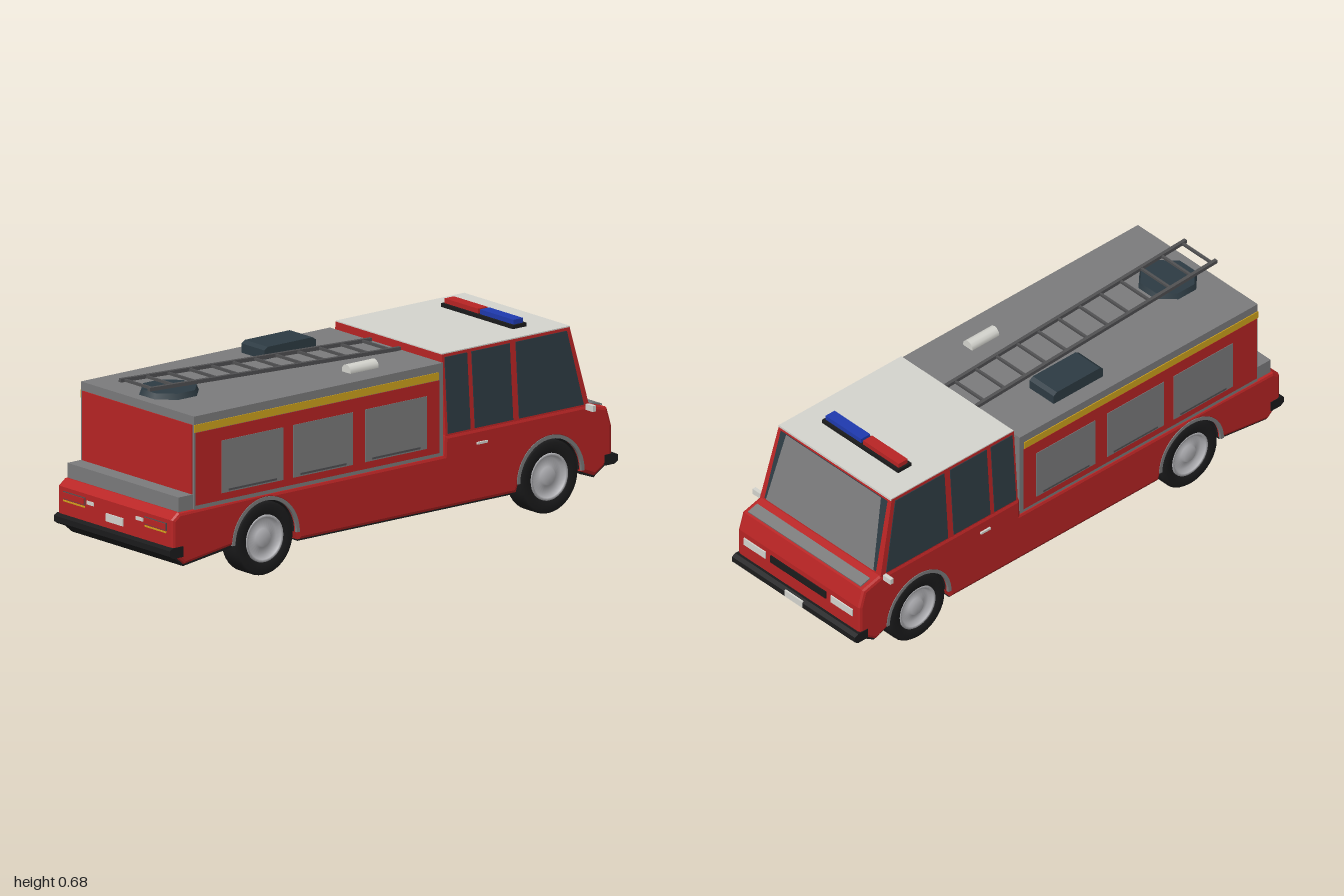
import * as THREE from 'three';

export function createModel() {
  const root = new THREE.Group();
  const mat = (name, color, side = THREE.FrontSide) => {
    const m = new THREE.MeshStandardMaterial({ color, side });
    m.name = name;
    return m;
  };
  const red = mat('fire red', 0xb82424);
  const grey = mat('panel grey', 0x7b7b7c);
  const white = mat('off white', 0xd4d4ce);
  const yellow = mat('stripe yellow', 0xcfa31c);
  const blue = mat('beacon blue', 0x1f3aae);
  const glass = mat('dark glass', 0x2d3b43);
  const black = mat('rubber black', 0x1b1b1c, THREE.DoubleSide);
  const silver = mat('wheel silver', 0xb6b6ba);
  const dark = mat('ladder grey', 0x505052);

  const add = (name, geo, m, x = 0, y = 0, z = 0) => {
    const mesh = new THREE.Mesh(geo, m);
    mesh.name = name;
    mesh.position.set(x, y, z);
    root.add(mesh);
    return mesh;
  };
  // box given by its limits on each axis
  const box = (name, m, x0, x1, y0, y1, z0, z1) =>
    add(name, new THREE.BoxGeometry(x1 - x0, y1 - y0, z1 - z0), m, (x0 + x1) / 2, (y0 + y1) / 2, (z0 + z1) / 2);
  // side profile in (z, y) extruded across x
  const prism = (shape, halfWidth, bevel = 0) => {
    const g = new THREE.ExtrudeGeometry(shape, {
      depth: 2 * (halfWidth - bevel), curveSegments: 20, bevelEnabled: bevel > 0,
      bevelSize: bevel, bevelThickness: bevel, bevelOffset: -bevel, bevelSegments: 2,
    });
    g.translate(0, 0, -(halfWidth - bevel));
    return g.rotateY(-Math.PI / 2);
  };
  const poly = (pts) => new THREE.Shape(pts.map(([z, y]) => new THREE.Vector2(z, y)));

  const axles = [0.57, -0.7];
  const hubY = 0.13;

  // lower body with wheel arches cut out
  const s = new THREE.Shape();
  s.moveTo(0.985, 0.15);
  s.lineTo(0.985, 0.265);
  s.lineTo(0.955, 0.288);
  s.lineTo(-0.225, 0.29);
  s.lineTo(-0.228, 0.358);
  s.lineTo(-0.87, 0.358);
  s.lineTo(-0.955, 0.335);
  s.lineTo(-0.975, 0.27);
  s.lineTo(-0.975, 0.15);
  s.lineTo(-0.9, 0.1);
  s.lineTo(-0.839, 0.125);
  s.absarc(-0.7, hubY, 0.14, Math.PI, 0, true);
  s.lineTo(-0.55, 0.1);
  s.lineTo(0.42, 0.1);
  s.absarc(0.57, hubY, 0.14, Math.PI, 0, true);
  s.lineTo(0.72, 0.13);
  s.lineTo(0.93, 0.1);
  add('lowerBody', prism(s, 0.309, 0.012), red);

  // black underside
  box('floor', black, -0.298, 0.298, 0.095, 0.103, -0.55, 0.42);
  const under = (name, pts) => add(name, prism(poly(pts), 0.297), black);
  under('rearUnderside', [[0.71, 0.122], [0.93, 0.093], [0.985, 0.14], [0.975, 0.16], [0.93, 0.112], [0.71, 0.14]]);
  under('frontUnderside', [[-0.84, 0.115], [-0.9, 0.093], [-0.975, 0.14], [-0.965, 0.16], [-0.9, 0.112], [-0.84, 0.135]]);

  // wheels, arch liners and arch trims
  const wheelProfile = [[0.08, -0.043], [0.122, -0.043], [0.13, -0.034], [0.13, 0.034], [0.122, 0.043], [0.086, 0.043], [0.082, 0.03]]
    .map(([r, h]) => new THREE.Vector2(r, h));
  const rimProfile = [[0, -0.035], [0.084, -0.035], [0.084, 0.04], [0.074, 0.04], [0.066, 0.022], [0.034, 0.03], [0.028, 0.04], [0, 0.04]]
    .map(([r, h]) => new THREE.Vector2(r, h));
  for (const z of axles) {
    const liner = new THREE.CylinderGeometry(0.138, 0.138, 0.59, 28, 1, true, 0, Math.PI);
    liner.rotateZ(Math.PI / 2);
    add('archLiner', liner, black, 0, hubY, z);
    box('axle', black, -0.23, 0.23, 0.11, 0.15, z - 0.02, z + 0.02);
    for (const side of [1, -1]) {
      const tyre = add('tyre', new THREE.LatheGeometry(wheelProfile, 36).rotateZ(-side * Math.PI / 2), black, side * 0.262, hubY, z);
      tyre.scale.set(1, 1, 1);
      add('rim', new THREE.LatheGeometry(rimProfile, 30).rotateZ(-side * Math.PI / 2), silver, side * 0.262, hubY, z);
      const ring = new THREE.Shape();
      ring.absarc(0, 0, 0.15, 0, Math.PI, false);
      ring.absarc(0, 0, 0.137, Math.PI, 0, true);
      add('archTrim', prism(ring, 0.005), grey, side * 0.306, hubY, z);
    }
  }

  // equipment box
  box('equipmentBox', grey, -0.303, 0.303, 0.285, 0.617, -0.225, 0.885);
  box('rearStep', grey, -0.298, 0.298, 0.28, 0.34, 0.87, 0.95);
  box('rearPanel', red, -0.293, 0.293, 0.34, 0.586, 0.88, 0.889);
  for (const side of [1, -1]) {
    const plate = (name, m, x, y0, y1, z0, z1) =>
      box(name, m, side * x - 0.003, side * x + 0.003, y0, y1, z0, z1);
    plate('sidePanel', red, 0.302, 0.3, 0.558, -0.208, 0.88);
    plate('sideStripe', yellow, 0.303, 0.56, 0.587, -0.205, 0.885);
    for (const [z0, z1] of [[0.49, 0.765], [0.18, 0.445], [-0.15, 0.125]]) {
      plate('shutter', grey, 0.304, 0.325, 0.512, z0, z1);
      plate('shutterHandle', dark, 0.306, 0.33, 0.337, z0 + 0.03, z1 - 0.03);
    }
  }

  // tapered cab: x is a function of height
  const cabX = (y) => 0.305 - 0.02 * (y - 0.355) / 0.285;
  const cabZ = (y) => -0.875 + 0.07 * (y - 0.355) / 0.285;
  const cabPrism = (pts, extra) => {
    const g = prism(poly(pts), 1);
    const p = g.attributes.position;
    for (let i = 0; i < p.count; i++) p.setX(i, Math.sign(p.getX(i)) * (cabX(p.getY(i)) + extra));
    g.computeVertexNormals();
    return g;
  };
  add('cab', cabPrism([[-0.235, 0.35], [-0.235, 0.64], [cabZ(0.64), 0.64], [cabZ(0.35), 0.35]], 0), red);
  const win = (z0, z1, z2) => add('sideWindows', cabPrism([[z0, 0.362], [z0, 0.63], [z1, 0.63], [z2, 0.362]], 0.003), glass);
  win(-0.245, -0.345, -0.345);
  win(-0.365, -0.535, -0.535);
  win(-0.562, -0.79, -0.85);
  box('cabRoof', white, -0.284, 0.284, 0.636, 0.644, -0.808, -0.236);

  // windscreen panes laid on the sloping front
  const pane = (name, m, corners, lift) => {
    const shape = poly(corners);
    const g = new THREE.ShapeGeometry(shape);
    const p = g.attributes.position;
    for (let i = 0; i < p.count; i++) {
      p.setXYZ(i, -p.getX(i), p.getY(i), cabZ(p.getY(i)) - lift);
    }
    g.computeVertexNormals();
    add(name, g, m);
  };
  pane('windscreenEdge', glass, [[-0.282, 0.366], [0.282, 0.366], [0.27, 0.63], [-0.27, 0.63]], 0.003);
  pane('windscreen', grey, [[-0.272, 0.366], [0.272, 0.366], [0.24, 0.63], [-0.24, 0.63]], 0.006);
  const cowl = box('cowl', grey, -0.285, 0.285, 0.345, 0.35, -0.95, -0.905);
  cowl.rotation.x = -0.264;

  // front and rear bumpers
  for (const end of [1, -1]) {
    const g = prism(poly([[end * 0.94, 0.13], [end * 0.985, 0.13], [end, 0.14], [end, 0.16], [end * 0.985, 0.168], [end * 0.94, 0.168]]), 0.311);
    add(end > 0 ? 'rearBumper' : 'frontBumper', g, black);
  }

  // rear and front lamps, plates and grille
  box('rearPlate', white, -0.045, 0.045, 0.192, 0.22, 0.982, 0.99);
  box('frontPlate', white, -0.045, 0.045, 0.14, 0.166, -1, -0.993).position.z = -0.9975;
  box('grille', black, -0.14, 0.14, 0.222, 0.25, -0.98, -0.972);
  for (const side of [1, -1]) {
    const lamp = (name, m, x, w, y0, y1, z) => box(name, m, side * x - w / 2, side * x + w / 2, y0, y1, z - 0.004, z + 0.004);
    lamp('rearLampFrame', dark, 0.218, 0.118, 0.224, 0.251, 0.984);
    lamp('rearLamp', red, 0.218, 0.112, 0.227, 0.248, 0.987);
    lamp('rearIndicator', yellow, 0.218, 0.115, 0.215, 0.22, 0.984);
    lamp('reversingLamp', white, 0.132, 0.038, 0.23, 0.243, 0.984);
    lamp('headlamp', white, 0.22, 0.11, 0.222, 0.25, -0.976);
    // mirrors and door handles
    box('mirror', white, side * 0.33 - 0.019, side * 0.33 + 0.019, 0.343, 0.364, -0.87, -0.855);
    box('mirrorArm', black, side * 0.305 - 0.012, side * 0.305 + 0.012, 0.348, 0.356, -0.866, -0.858);
    box('doorHandle', white, side * 0.312 - 0.004, side * 0.312 + 0.004, 0.304, 0.312, -0.415, -0.37);
  }

  // light bar
  box('lightBarBase', black, -0.193, 0.193, 0.642, 0.657, -0.69, -0.628);
  box('redBeacon', red, -0.185, -0.005, 0.657, 0.674, -0.68, -0.638);
  box('blueBeacon', blue, 0.005, 0.185, 0.657, 0.674, -0.68, -0.638);

  // roof equipment
  const hatch = add('roofHatch', new THREE.CylinderGeometry(0.1, 0.108, 0.022, 8), glass, 0, 0.626, 0.745);
  hatch.rotation.y = Math.PI / 8;
  add('roofLocker', prism(poly([[-0.01, 0.615], [0.22, 0.615], [0.22, 0.65], [0.205, 0.66], [0.005, 0.66], [-0.01, 0.65]]), 0.061), glass, -0.181, 0, 0);
  const roll = new THREE.CylinderGeometry(0.024, 0.024, 0.125, 12).rotateX(Math.PI / 2);
  add('roofCylinder', roll, white, 0.19, 0.622, 0.05);

  // ladder sloping up towards the rear
  const ladder = new THREE.Group();
  ladder.name = 'ladder';
  const part = (name, w, h, l, x, z) => {
    const m = new THREE.Mesh(new THREE.BoxGeometry(w, h, l), dark);
    m.name = name;
    m.position.set(x, 0, z);
    ladder.add(m);
  };
  for (const x of [-0.077, 0.077]) part('ladderRail', 0.013, 0.013, 1.12, x, 0);
  for (let i = 0; i < 12; i++) part('ladderRung', 0.15, 0.009, 0.009, 0, -0.52 + i * 0.0965);
  ladder.position.set(0, 0.646, 0.34);
  ladder.rotation.x = -0.042;
  root.add(ladder);

  return root;
}
